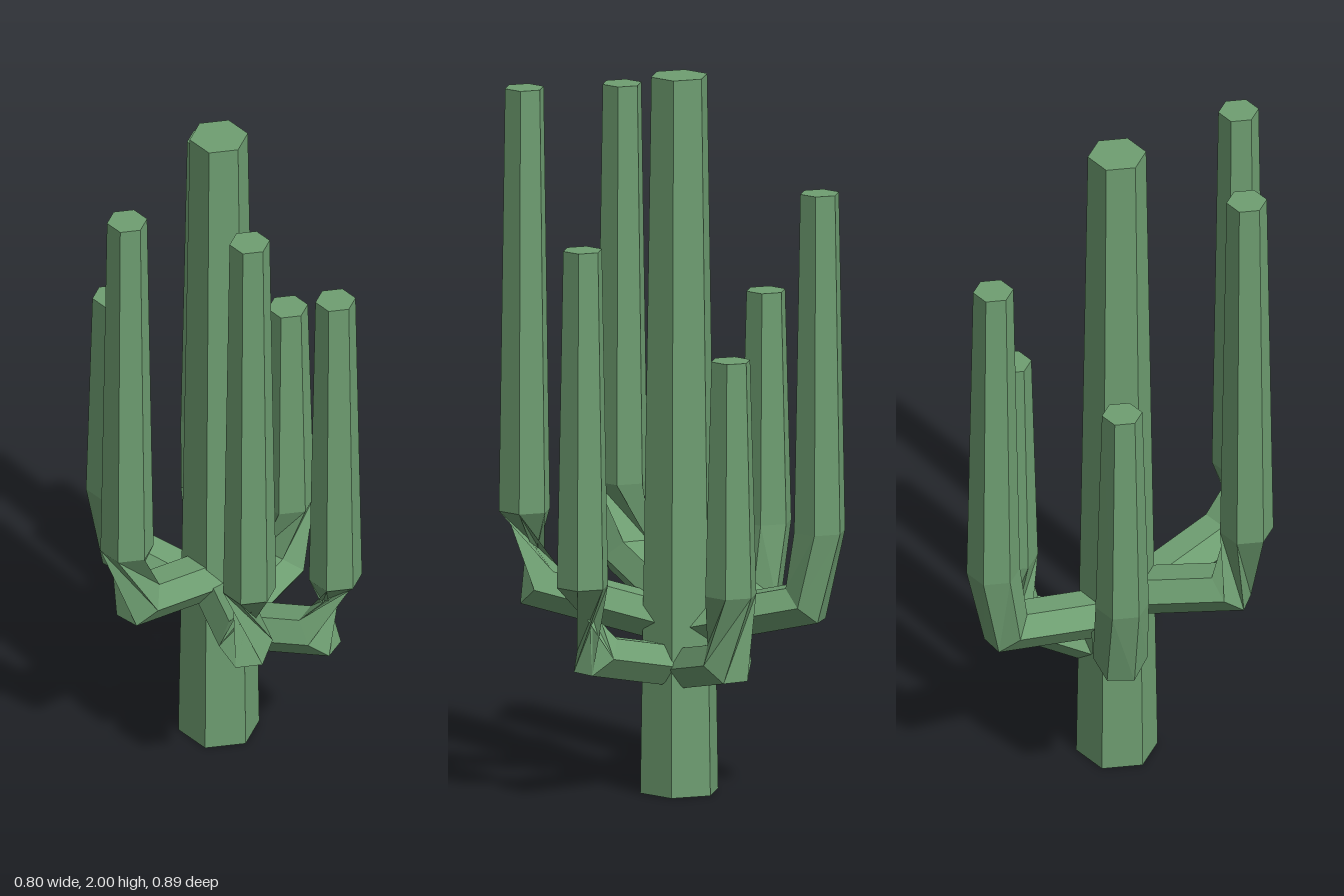
import * as THREE from 'three';

const SIDES = 6;

// Hexagonal cross-section facing azimuth phi, leaning outward by tilt
function ring(center, phi, radius, tilt) {
  const points = [];
  for (let i = 0; i < SIDES; i++) {
    const a = (i + 0.5) * Math.PI * 2 / SIDES;
    const out = radius * Math.cos(a), side = radius * Math.sin(a);
    const flat = out * Math.cos(tilt);
    points.push([
      center[0] + flat * Math.cos(phi) - side * Math.sin(phi),
      center[1] - out * Math.sin(tilt),
      center[2] + flat * Math.sin(phi) + side * Math.cos(phi),
    ]);
  }
  return points;
}

// Skin a list of rings, with both ends capped
function loft(rings) {
  const index = [];
  for (let r = 0; r < rings.length - 1; r++) {
    for (let i = 0; i < SIDES; i++) {
      const j = (i + 1) % SIDES;
      const a = r * SIDES + i, b = r * SIDES + j;
      const c = b + SIDES, d = a + SIDES;
      index.push(a, d, c, a, c, b);
    }
  }
  const last = (rings.length - 1) * SIDES;
  for (let i = 1; i < SIDES - 1; i++) {
    index.push(0, i, i + 1, last, last + i + 1, last + i);
  }
  const geometry = new THREE.BufferGeometry();
  geometry.setAttribute('position', new THREE.Float32BufferAttribute(rings.flat(2), 3));
  geometry.setIndex(index);
  const faceted = geometry.toNonIndexed();
  faceted.computeVertexNormals();
  return faceted;
}

export function createModel() {
  const group = new THREE.Group();
  const green = new THREE.MeshStandardMaterial({ color: 0x6f9f72, flatShading: true });
  green.name = 'cactus green';

  // Tapered trunk
  const axisX = -0.017;
  const trunk = new THREE.Mesh(new THREE.CylinderGeometry(0.081, 0.113, 2, SIDES), green);
  trunk.name = 'trunk';
  trunk.position.set(axisX, 1, -0.002);
  group.add(trunk);

  // Arms: elbow centre, x and z of the upright stem, its base and top heights
  const arms = [
    { name: 'frontRightArm', elbow: [-0.147, 0.60, 0.295], stem: [-0.165, 0.335], base: 0.80, top: 1.91 },
    { name: 'frontLeftArm', elbow: [0.18, 0.56, 0.335], stem: [0.203, 0.369], base: 0.77, top: 1.95 },
    { name: 'leftArm', elbow: [0.29, 0.42, 0.035], stem: [0.337, 0.041], base: 0.62, top: 1.56 },
    { name: 'rightArm', elbow: [-0.305, 0.51, -0.037], stem: [-0.338, -0.037], base: 0.71, top: 1.355 },
    { name: 'backRightArm', elbow: [-0.164, 0.545, -0.333], stem: [-0.18, -0.37], base: 0.75, top: 1.695 },
    { name: 'backLeftArm', elbow: [0.078, 0.405, -0.26], stem: [0.086, -0.279], base: 0.60, top: 1.255 },
  ];
  for (const { name, elbow, stem, base, top } of arms) {
    const dx = elbow[0] - axisX, dz = elbow[2];
    const phi = Math.atan2(dz, dx);
    const reach = Math.hypot(dx, dz) - 0.05;
    const root = [
      elbow[0] - reach * Math.cos(phi),
      elbow[1] - reach * 0.23,
      elbow[2] - reach * Math.sin(phi),
    ];
    // Every upright stem shares one orientation, so the arms twist above the elbow
    const arm = new THREE.Mesh(loft([
      ring(root, phi, 0.075, Math.PI / 4),
      ring(elbow, phi, 0.075, Math.PI / 4),
      ring([stem[0], base, stem[1]], Math.PI, 0.074, 0),
      ring([stem[0], top, stem[1]], Math.PI, 0.056, 0),
    ]), green);
    arm.name = name;
    group.add(arm);
  }
  return group;
}
